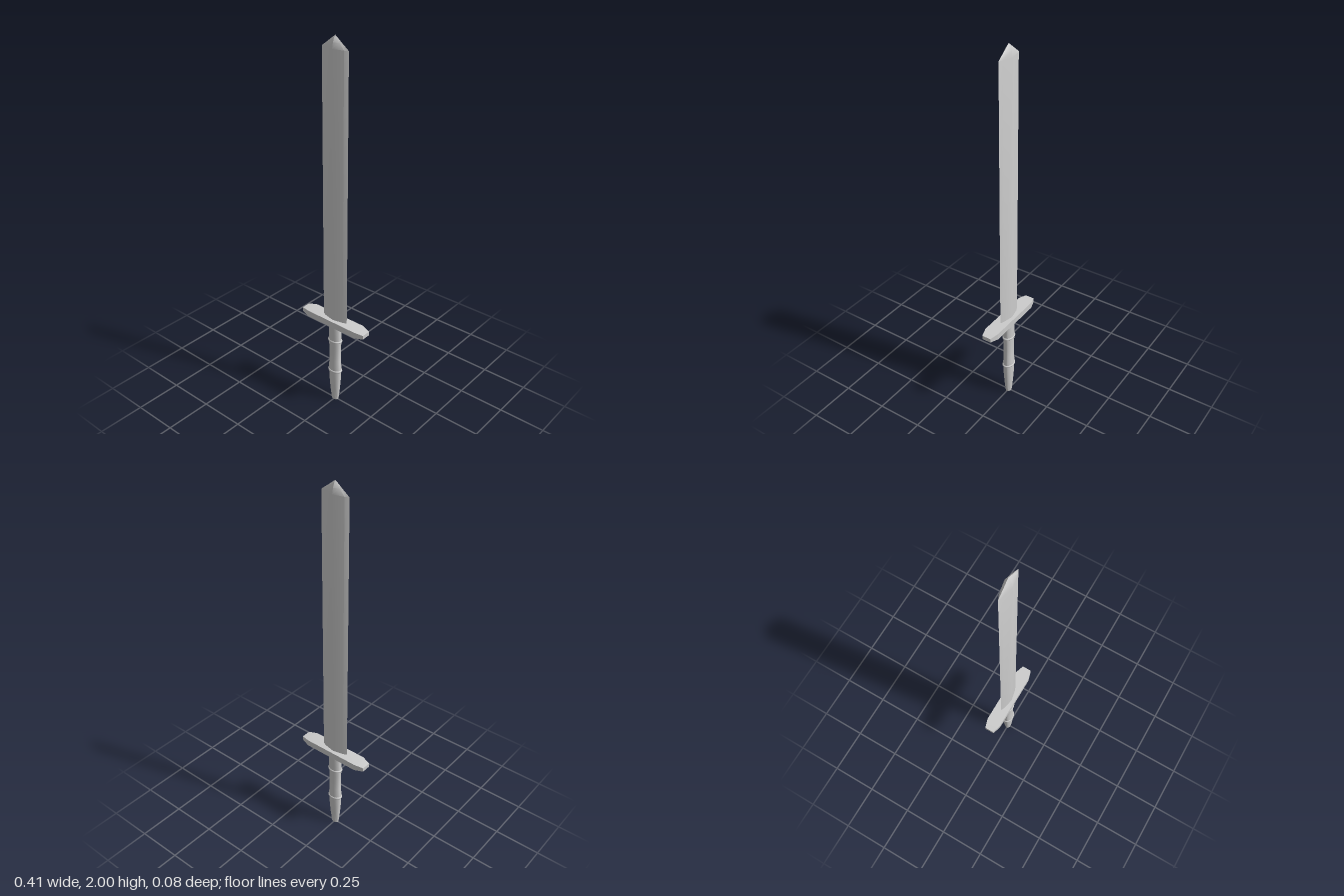
import * as THREE from 'three';
import { toCreasedNormals } from 'three/addons/utils/BufferGeometryUtils.js';

const material = new THREE.MeshStandardMaterial({ color: 0xcccccc });

function addMesh(group, name, geometry) {
  const mesh = new THREE.Mesh(geometry, material);
  mesh.name = name;
  group.add(mesh);
  return mesh;
}

// Skins closed loops of [x, y, z] points and caps both ends.
function loft(rings, crease) {
  const n = rings[0].length;
  const index = [];
  for (let r = 0; r < rings.length - 1; r++) {
    for (let i = 0; i < n; i++) {
      const a = r * n + i, b = r * n + (i + 1) % n;
      index.push(a, a + n, b, b, a + n, b + n);
    }
  }
  const last = (rings.length - 1) * n;
  for (let i = 1; i < n - 1; i++) {
    index.push(0, i, i + 1, last, last + i + 1, last + i);
  }
  const geometry = new THREE.BufferGeometry();
  geometry.setAttribute('position', new THREE.Float32BufferAttribute(rings.flat(2), 3));
  geometry.setIndex(index);
  return toCreasedNormals(geometry, crease);
}

// Flattened diamond blade with a short point: [y, half width, half thickness]
function bladeGeometry() {
  const section = [[1, 0], [0.74, -0.42], [0, -1], [-0.74, -0.42],
    [-1, 0], [-0.74, 0.42], [0, 1], [0.74, 0.42]].reverse();
  const stations = [[0.51, 0.078, 0.021], [1.942, 0.078, 0.021],
    [1.97, 0.04, 0.0155], [1.987, 0.018, 0.009], [2, 0.0004, 0.0004]];
  return loft(stations.map(([y, w, t]) => section.map(([x, z]) => [x * w, y, z * t])), 0.5);
}

// Crossguard narrowing at both ends: [x, half height, half depth]
function guardGeometry() {
  const corners = [[1, 1], [1, -1], [-1, -1], [-1, 1]];
  const stations = [[-0.205, 0.011, 0.025], [-0.157, 0.0175, 0.039],
    [0.157, 0.0175, 0.039], [0.205, 0.011, 0.025]];
  return loft(stations.map(([x, h, d]) => corners.map(([y, z]) => [x, 0.507 + y * h, z * d])), 0.2);
}

export function createModel() {
  const model = new THREE.Group();
  addMesh(model, 'blade', bladeGeometry());
  addMesh(model, 'crossguard', guardGeometry());

  // Oval handle, waisted in the middle and tapering to the foot
  const handle = new THREE.Group();
  handle.name = 'handle';
  handle.scale.z = 0.73;
  model.add(handle);
  const profile = [[0, 0], [0.02, 0], [0.023, 0.02], [0.029, 0.07], [0.034, 0.13],
    [0.037, 0.19], [0.037, 0.22], [0.034, 0.26], [0.0335, 0.3], [0.035, 0.35],
    [0.037, 0.385], [0.037, 0.5]].map(([r, y]) => new THREE.Vector2(r, y));
  addMesh(handle, 'grip', toCreasedNormals(new THREE.LatheGeometry(profile, 24), 0.6));

  // Raised bands around the grip
  for (const [name, y] of [['lowerBand', 0.195], ['upperBand', 0.388]]) {
    const band = addMesh(handle, name, new THREE.TorusGeometry(0.036, 0.0065, 8, 24));
    band.rotation.x = Math.PI / 2;
    band.position.y = y;
  }
  return model;
}
